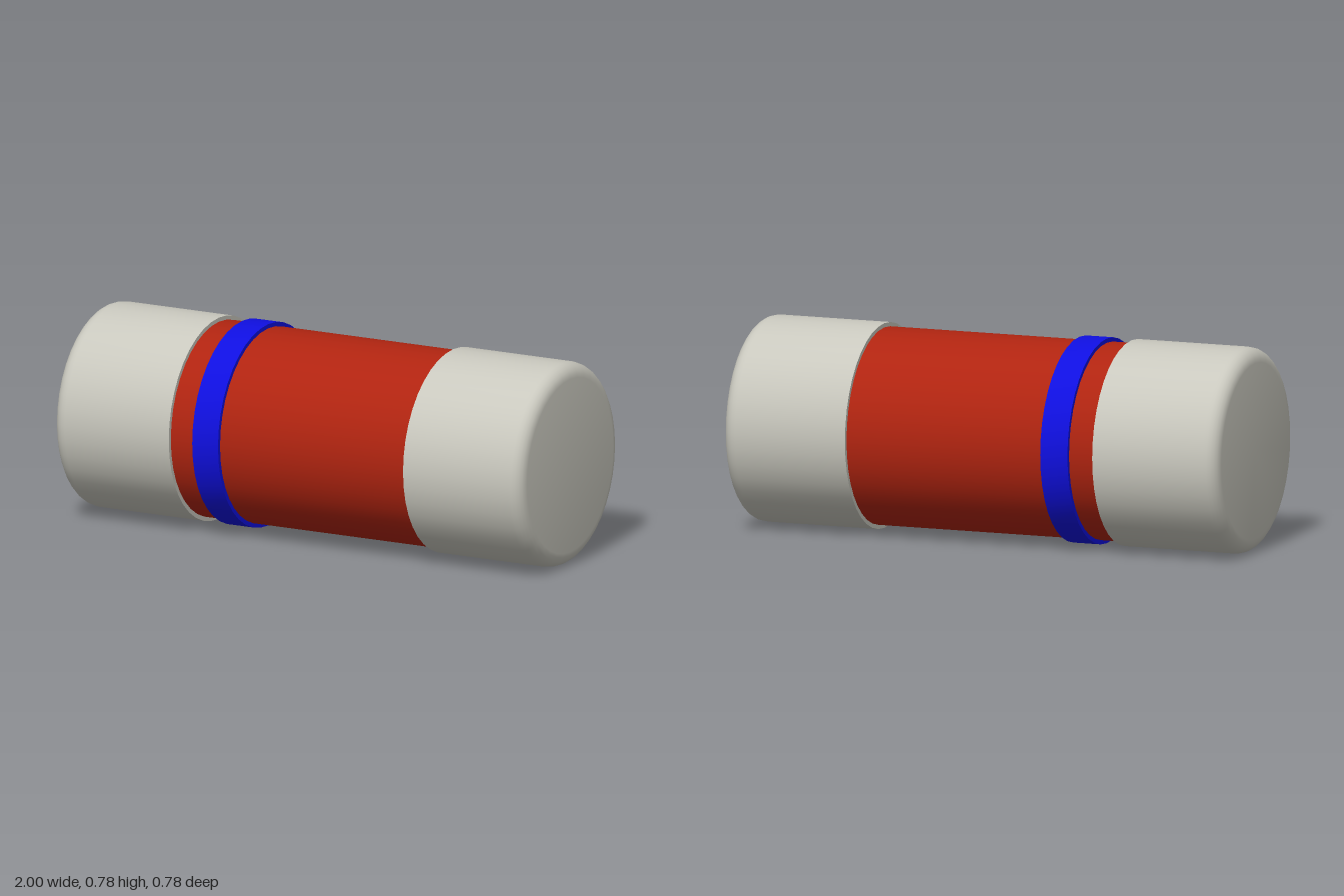
import * as THREE from 'three';
import { toCreasedNormals } from 'three/addons/utils/BufferGeometryUtils.js';

const SEGMENTS = 40;
const RADIUS = 0.388;      // caps and band
const BODY_RADIUS = 0.372;
const FILLET = 0.055;

const material = (name, color) => Object.assign(new THREE.MeshStandardMaterial({ color }), { name });

// Turns a [radius, distance along axis] profile, keeping hard edges sharp
function turned(points) {
  const profile = points.map(([r, d]) => new THREE.Vector2(r, d));
  return toCreasedNormals(new THREE.LatheGeometry(profile, SEGMENTS), 0.6);
}

export function createModel() {
  const model = new THREE.Group();
  model.name = 'bandedCylinder';
  const metal = material('paleMetal', 0xc9c8be);
  const red = material('redCoating', 0xb02410);
  const blue = material('blueBand', 0x0f0fe0);

  const add = (name, geometry, mat, direction = 1) => {
    const mesh = new THREE.Mesh(geometry, mat);
    mesh.name = name;
    mesh.rotation.z = -direction * Math.PI / 2; // lay the axis along x
    mesh.position.y = RADIUS;
    model.add(mesh);
  };

  // Red body between the caps
  add('body', turned([[BODY_RADIUS, -0.5], [BODY_RADIUS, 0.5]]), red);

  // Raised blue band towards the right end
  add('band', turned([
    [BODY_RADIUS, -0.4], [RADIUS, -0.4], [RADIUS, -0.29], [BODY_RADIUS, -0.29],
  ]), blue);

  // End caps with a rounded outer rim
  const cap = [[BODY_RADIUS, 0.5], [RADIUS, 0.5]];
  for (let i = 0; i <= 6; i++) {
    const a = (i / 6) * Math.PI / 2;
    cap.push([RADIUS - FILLET + FILLET * Math.cos(a), 1 - FILLET + FILLET * Math.sin(a)]);
  }
  cap.push([0, 1]);
  const capGeometry = turned(cap);
  add('leftCap', capGeometry, metal, 1);
  add('rightCap', capGeometry, metal, -1);

  return model;
}
